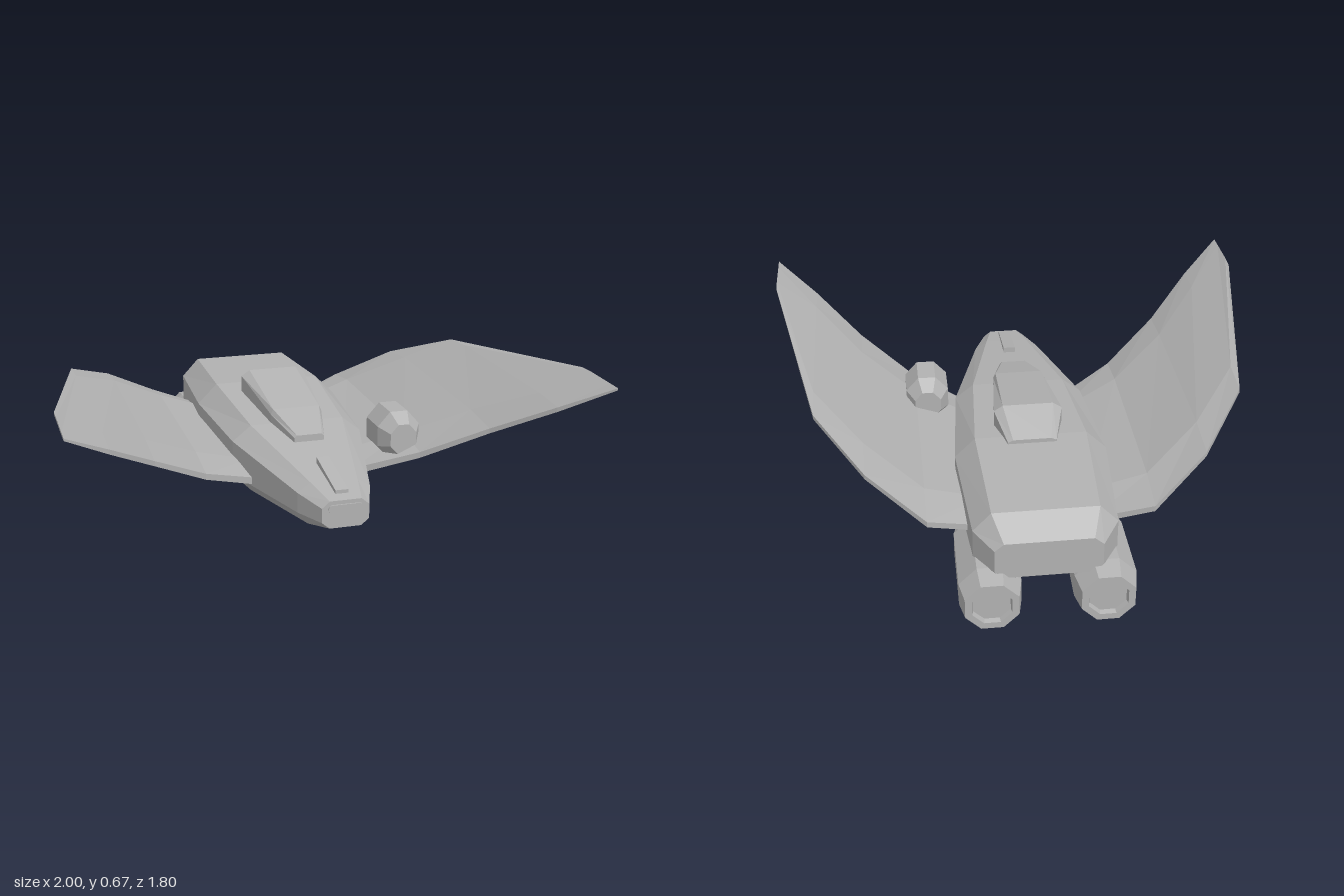
import * as THREE from 'three';

const hull = new THREE.MeshStandardMaterial({ color: 0xb2b2b2 });
hull.name = 'hull grey';

// Skins a row of closed rings and caps both ends, with flat facets.
function loft(name, rings) {
  const pos = [];
  const tri = (a, b, c) => pos.push(...a, ...b, ...c);
  const n = rings[0].length;
  const middle = (ring) => [0, 1, 2].map((k) => ring.reduce((s, p) => s + p[k], 0) / n);
  for (let i = 0; i < rings.length - 1; i++) {
    for (let j = 0; j < n; j++) {
      const k = (j + 1) % n, a = rings[i], b = rings[i + 1];
      tri(a[j], b[j], b[k]);
      tri(a[j], b[k], a[k]);
    }
  }
  const first = rings[0], last = rings[rings.length - 1];
  const m0 = middle(first), m1 = middle(last);
  for (let j = 0; j < n; j++) {
    const k = (j + 1) % n;
    tri(m0, first[j], first[k]);
    tri(m1, last[k], last[j]);
  }
  const geo = new THREE.BufferGeometry();
  geo.setAttribute('position', new THREE.Float32BufferAttribute(pos, 3));
  geo.computeVertexNormals();
  const mesh = new THREE.Mesh(geo, hull);
  mesh.name = name;
  return mesh;
}

// Reflects rings across x = 0 while keeping faces outward.
const mirror = (rings) => rings.map((r) => r.map(([x, y, z]) => [-x, y, z]).reverse());

// Eight-sided ring facing z.
const octagon = (cx, cy, z, rx, ry = rx) => Array.from({ length: 8 }, (_, i) => {
  const a = (i + 0.5) * Math.PI / 4;
  return [cx + rx * Math.cos(a), cy + ry * Math.sin(a), z];
});

export function createModel() {
  const model = new THREE.Group();
  model.name = 'winged shuttle';

  // Fuselage: z, top half-width, top y, side half-width, upper y, lower y, bottom half-width, bottom y
  const body = [
    [0.795, 0.06, 0.3, 0.09, 0.275, 0.22, 0.06, 0.195],
    [0.66, 0.09, 0.325, 0.14, 0.29, 0.213, 0.1, 0.165],
    [0.18, 0.19, 0.4, 0.265, 0.34, 0.2, 0.19, 0.125],
    [-0.28, 0.22, 0.44, 0.3, 0.36, 0.21, 0.215, 0.113],
    [-0.74, 0.2, 0.425, 0.27, 0.35, 0.22, 0.2, 0.115],
    [-0.85, 0.165, 0.365, 0.2, 0.335, 0.24, 0.165, 0.21],
  ];
  model.add(loft('fuselage', body.map(([z, t, ty, s, uy, ly, b, by]) => [
    [s, ly, z], [s, uy, z], [t, ty, z], [-t, ty, z],
    [-s, uy, z], [-s, ly, z], [-b, by, z], [b, by, z],
  ])));

  // Canopy: z, top half-width, top y, side half-width, side y, base y
  const canopy = [
    [0.35, 0.05, 0.4, 0.06, 0.39, 0.35],
    [0.17, 0.095, 0.455, 0.105, 0.435, 0.37],
    [-0.18, 0.1, 0.52, 0.135, 0.497, 0.4],
    [-0.33, 0.075, 0.455, 0.095, 0.445, 0.4],
  ];
  model.add(loft('canopy', canopy.map(([z, t, ty, s, sy, by]) => [
    [s, by, z], [s, sy, z], [t, ty, z], [-t, ty, z], [-s, sy, z], [-s, by, z],
  ])));

  // Raised strip along the nose
  const strip = [[0.75, 0.322], [0.52, 0.37]];
  model.add(loft('noseStrip', strip.map(([z, y]) => [
    [0.025, y - 0.04, z], [0.025, y, z], [-0.025, y, z], [-0.025, y - 0.04, z],
  ])));

  // Rounded plate on the nose tip
  const slot = new THREE.Shape();
  slot.absarc(0.05, 0, 0.015, -Math.PI / 2, Math.PI / 2);
  slot.absarc(-0.05, 0, 0.015, Math.PI / 2, Math.PI * 1.5);
  const plate = new THREE.Mesh(
    new THREE.ExtrudeGeometry(slot, { depth: 0.007, bevelEnabled: false, curveSegments: 5 }), hull);
  plate.name = 'nosePlate';
  plate.position.set(0, 0.27, 0.794);
  model.add(plate);

  // Wings, tip to root: x, trailing z and y, leading z and y, ridge inset, ridge rise, edge half-thickness
  const stations = [
    [1, 0.63, 0.665, 0.9, 0.66, 0.06, 0.002, 0.004],
    [0.835, -0.24, 0.56, 0.765, 0.555, 0.15, 0.012, 0.009],
    [0.65, -0.5, 0.45, 0.585, 0.43, 0.18, 0.02, 0.01],
    [0.43, -0.64, 0.315, 0.43, 0.3, 0.175, 0.027, 0.012],
    [0.2, -0.585, 0.235, 0.315, 0.215, 0.14, 0.03, 0.014],
  ];
  const wing = stations.map(([x, tz, ty, lz, ly, inset, rise, e]) => [
    [x, ty - e, tz], [x, ty + e, tz],
    [x, ty + e + rise, tz + inset], [x, ly + e + rise, lz - inset],
    [x, ly + e, lz], [x, ly - e, lz],
    [x, ly - e - rise * 0.6, lz - inset], [x, ty - e - rise * 0.6, tz + inset],
  ]);
  model.add(loft('leftWing', wing), loft('rightWing', mirror(wing)));

  // Engines with a shallow recessed nozzle: z, radius
  const profile = [
    [-0.37, 0.08], [-0.52, 0.122], [-0.82, 0.126], [-0.905, 0.108], [-0.905, 0.08], [-0.885, 0.075],
  ];
  const engine = profile.map(([z, r]) => octagon(0.215, 0.122, z, r));
  model.add(loft('leftEngine', engine), loft('rightEngine', mirror(engine)));

  // Pod set through the left wing only
  const pod = [[0.37, 0.058], [0.31, 0.094], [0.18, 0.094], [0.12, 0.058]];
  model.add(loft('wingPod', pod.map(([z, r]) => octagon(0.383, 0.35, z, r, r * 1.13))));

  return model;
}
